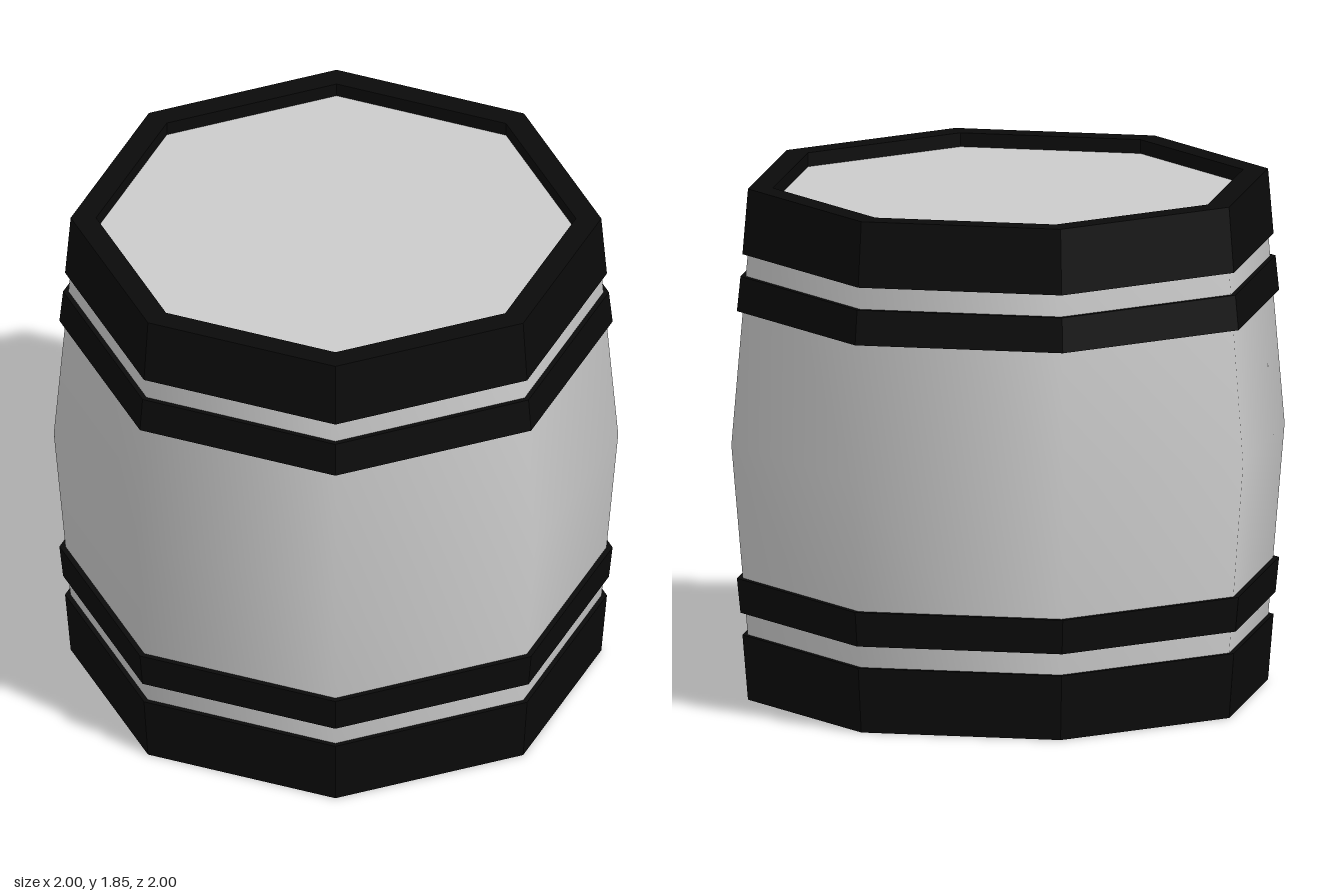
import * as THREE from 'three';

const SIDES = 8;
const HEIGHT = 1.845;
const RECESS = 0.05; // depth of the heads below the rims

export function createModel() {
  const barrel = new THREE.Group();
  barrel.name = 'barrel';

  const wood = new THREE.MeshStandardMaterial({ color: 0xcccccc });
  const iron = new THREE.MeshStandardMaterial({ color: 0x0a0a0a, flatShading: true });

  const lathe = (name, points, material) => {
    const profile = points.map(([r, y]) => new THREE.Vector2(r, y));
    const mesh = new THREE.Mesh(new THREE.LatheGeometry(profile, SIDES), material);
    mesh.name = name;
    barrel.add(mesh);
    return mesh;
  };

  // Bulging staves, eight-sided with smooth shading
  lathe('staves', [
    [0.925, RECESS],
    [1, HEIGHT / 2],
    [0.925, HEIGHT - RECESS],
  ], wood);

  // Closed hoop: outer radius changes from r0 at y0 to r1 at y1
  const hoop = (name, inner, r0, y0, r1, y1) => lathe(name, [
    [inner, y0], [r0, y0], [r1, y1], [inner, y1], [inner, y0],
  ], iron);

  // Each end: wide rim hoop, narrow hoop and a recessed head
  for (const top of [false, true]) {
    const end = top ? 'top' : 'bottom';
    const mirrored = (name, inner, rLow, yLow, rHigh, yHigh) => top
      ? hoop(name, inner, rHigh, HEIGHT - yHigh, rLow, HEIGHT - yLow)
      : hoop(name, inner, rLow, yLow, rHigh, yHigh);
    mirrored(end + 'Rim', 0.85, 0.94, 0, 0.96, 0.235);
    mirrored(end + 'Hoop', 0.92, 0.967, 0.315, 0.98, 0.44);

    const head = new THREE.Mesh(new THREE.CircleGeometry(0.87, SIDES), wood);
    head.name = end + 'Head';
    head.rotation.x = top ? -Math.PI / 2 : Math.PI / 2;
    head.position.y = top ? HEIGHT - RECESS : RECESS;
    barrel.add(head);
  }

  return barrel;
}
